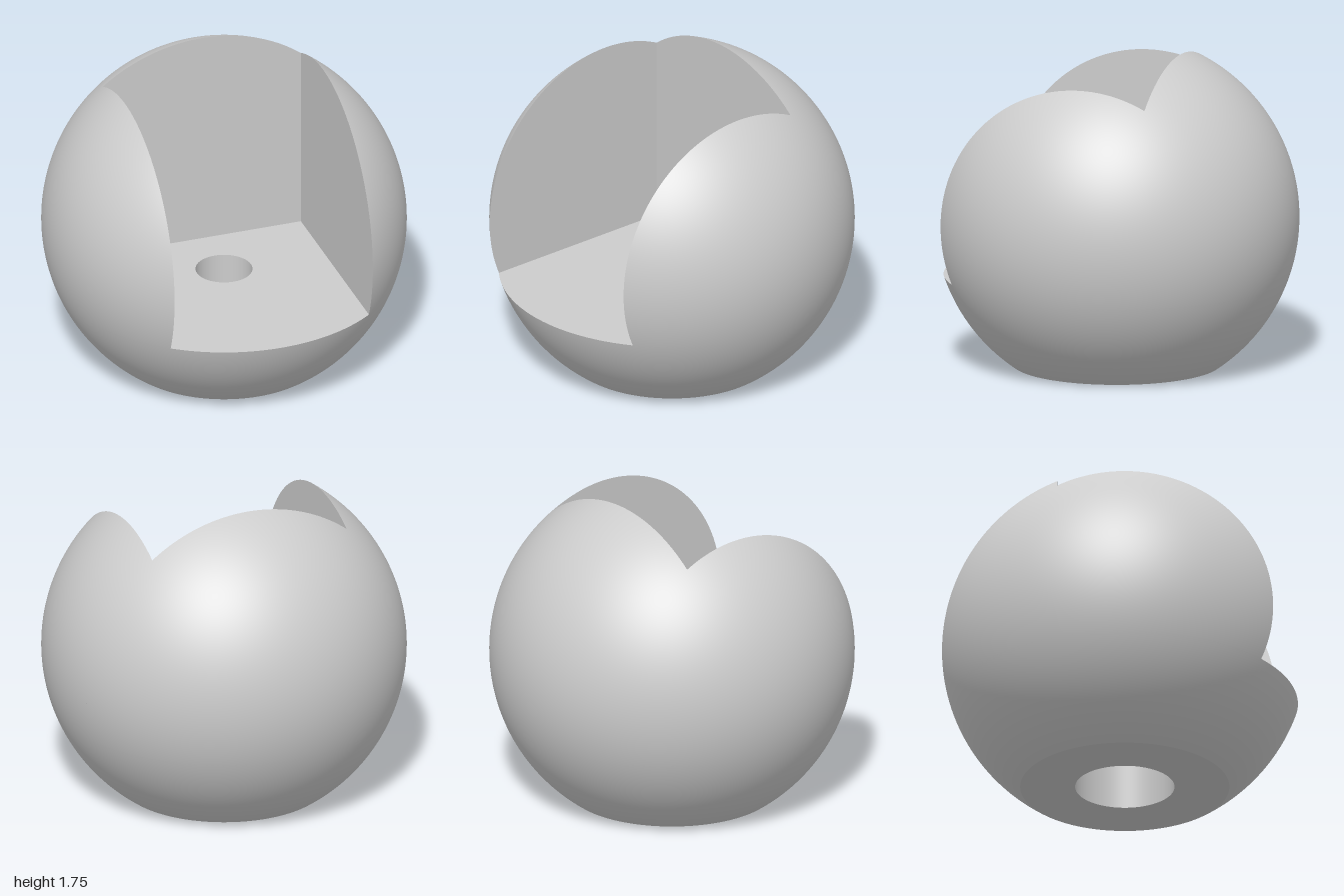
import * as THREE from 'three';

const CY = 0.82, CZ = 0.026;               // centre of the unit ball
const W = 0.575, FLOOR = -0.32, BACK = -0.366; // notch limits, relative to the centre
const HOLE = 0.156, BORE = 0.272, STEP = -0.48; // through hole and its wider lower bore
const LAP = 0.01;                          // neighbouring sphere patches overlap by this much
const leg = (r, a) => Math.sqrt(r * r - a * a);

// Patch of the unit sphere: theta gives x, span(r) gives the arc limits in the yz plane
function spherePatch(theta, span, zSign, nu = 48, nv = 96) {
  const pos = [], index = [];
  for (let i = 0; i <= nu; i++) {
    const t = theta(i / nu), x = Math.sin(t), r = Math.cos(t);
    const [a, b] = span(r);
    for (let j = 0; j <= nv; j++) {
      const p = a + (b - a) * j / nv;
      pos.push(x, r * Math.sin(p), zSign * r * Math.cos(p));
      if (i < nu && j < nv) {
        const k = i * (nv + 1) + j, m = k + nv + 1;
        index.push(k, m, m + 1, k, m + 1, k + 1);
      }
    }
  }
  const g = new THREE.BufferGeometry();
  g.setAttribute('position', new THREE.Float32BufferAttribute(pos, 3));
  g.setAttribute('normal', new THREE.Float32BufferAttribute(pos, 3)); // unit sphere
  g.setIndex(index);
  return g;
}

export function createModel() {
  const model = new THREE.Group();
  model.name = 'notchedBall';
  const ball = new THREE.Group();
  ball.name = 'ball';
  ball.position.set(0, CY, CZ);
  model.add(ball);

  const grey = new THREE.MeshStandardMaterial({ color: 0xcccccc });
  grey.name = 'grey';
  const add = (name, geometry) => {
    const mesh = new THREE.Mesh(geometry, grey);
    mesh.name = name;
    ball.add(mesh);
    return mesh;
  };
  const lathe = (points) =>
    new THREE.LatheGeometry(points.map(([x, y]) => new THREE.Vector2(x, y)), 192);

  // Lower bowl, from the flat base up to the notch floor
  const bowl = [];
  const low = Math.asin(-CY), high = Math.asin(FLOOR);
  for (let i = 0; i <= 32; i++) {
    const a = low + (high - low) * i / 32;
    bowl.push([Math.cos(a), Math.sin(a)]);
  }
  add('lowerBowl', lathe(bowl));
  add('base', lathe([[BORE, -CY], [Math.cos(low), -CY]]));

  // Stepped hole: narrow above, wide below
  add('holeWall', lathe([[HOLE, FLOOR], [HOLE, STEP]]));
  add('boreStep', lathe([[HOLE, STEP], [BORE, STEP]]));
  add('boreWall', lathe([[BORE, STEP], [BORE, -CY]]));

  // Rounded sides: a trimmed band, then a full cap around each pole
  const skirt = FLOOR - LAP;
  const t0 = Math.asin(W), tk = Math.acos(-skirt);
  const sideSpan = (r) => {
    const a = Math.asin(Math.min(1, -skirt / Math.max(r, 1e-6)));
    return [-a, Math.PI + a];
  };
  const band = (t) => t0 + (tk - t0) * Math.sin(t * Math.PI / 2);
  const cap = (t) => tk + (Math.PI / 2 - tk) * t;
  for (const [side, f] of [['left', band], ['left', cap], ['right', band], ['right', cap]]) {
    const theta = side === 'left' ? f : (t) => -f(1 - t);
    add(side + (f === band ? 'SideBand' : 'SideCap'), spherePatch(theta, sideSpan, 1));
  }

  // Rounded back between the sides
  const tb = t0 + LAP;
  add('backShell', spherePatch(
    (t) => tb - 2 * tb * t,
    (r) => [Math.asin(skirt / r), Math.acos(-BACK / r)], -1));

  // Back wall of the notch
  const rb = leg(1, BACK), ab = Math.acos(W / rb);
  const backShape = new THREE.Shape();
  backShape.moveTo(-W, FLOOR).lineTo(W, FLOOR);
  backShape.absarc(0, 0, rb, ab, Math.PI - ab);
  add('notchBackWall', new THREE.ShapeGeometry(backShape, 64)).position.z = BACK;

  // Side walls of the notch, mirrored
  const rs = leg(1, W);
  const start = Math.asin(FLOOR / rs), end = Math.acos(BACK / rs);
  for (const s of [1, -1]) {
    const shape = new THREE.Shape();
    shape.moveTo(s * BACK, FLOOR).lineTo(s * leg(rs, FLOOR), FLOOR);
    if (s > 0) shape.absarc(0, 0, rs, start, end, false);
    else shape.absarc(0, 0, rs, Math.PI - start, Math.PI - end, true);
    const wall = add(s > 0 ? 'notchLeftWall' : 'notchRightWall', new THREE.ShapeGeometry(shape, 96));
    wall.rotation.y = -s * Math.PI / 2;
    wall.position.x = s * W;
  }

  // Notch floor with the round hole
  const rf = leg(1, FLOOR), af = Math.acos(W / rf);
  const floorShape = new THREE.Shape();
  floorShape.moveTo(W, -BACK).lineTo(-W, -BACK);
  floorShape.absarc(0, 0, rf, Math.PI + af, 2 * Math.PI - af);
  const hole = new THREE.Path();
  hole.absarc(0, 0, HOLE, 0, Math.PI * 2, true);
  floorShape.holes.push(hole);
  const floor = add('notchFloor', new THREE.ShapeGeometry(floorShape, 96));
  floor.rotation.x = -Math.PI / 2;
  floor.position.y = FLOOR;

  return model;
}
